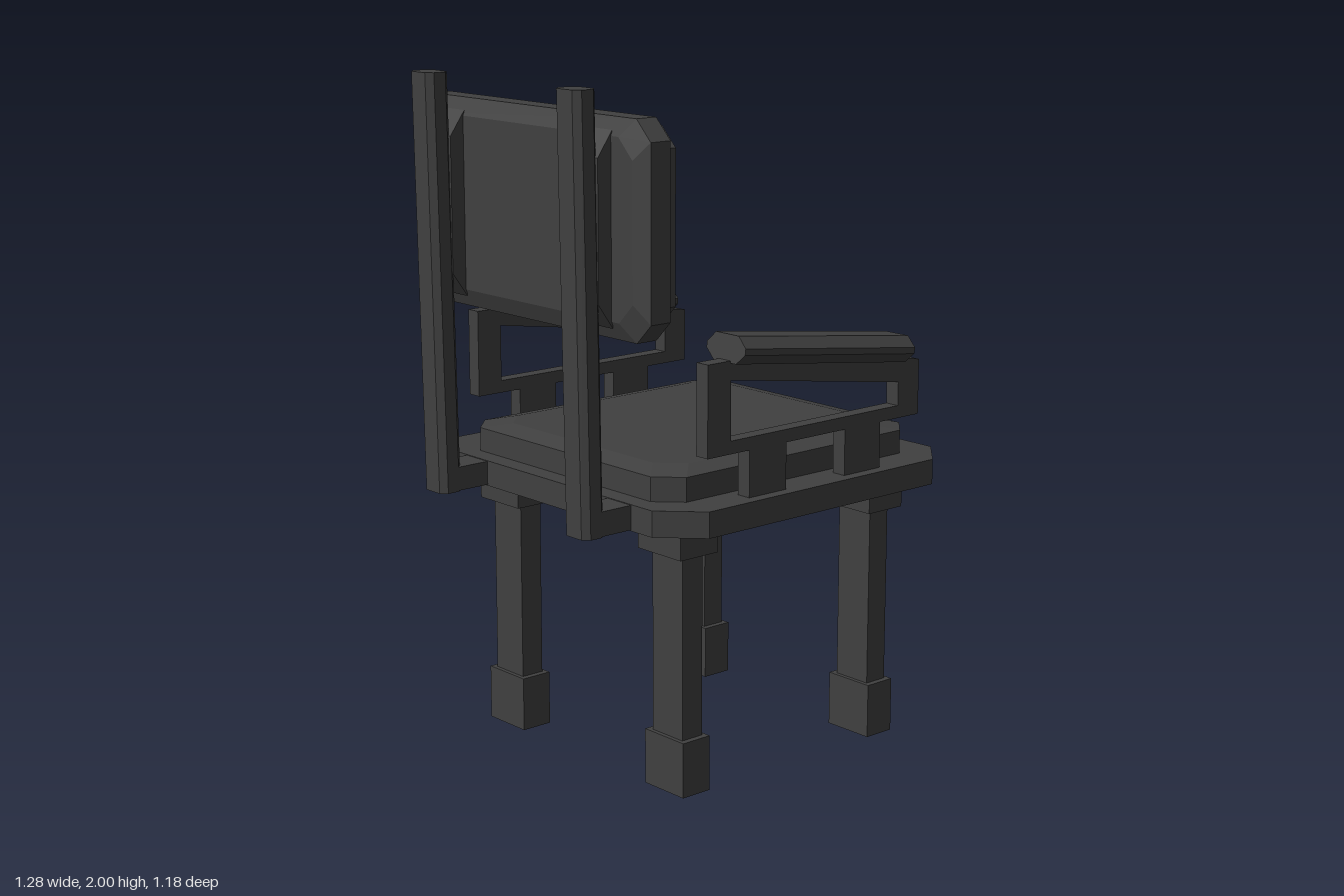
import * as THREE from 'three';

const material = new THREE.MeshStandardMaterial({ color: 0x404040, flatShading: true });

function add(parent, name, geometry, x = 0, y = 0, z = 0) {
  const mesh = new THREE.Mesh(geometry, material);
  mesh.name = name;
  mesh.position.set(x, y, z);
  parent.add(mesh);
  return mesh;
}

// Chamfered rectangle (x by z) lofted upward through rings of [y, inset, xShift]
function slab(width, depth, chamfer, rings) {
  const pos = [], index = [], n = 8;
  for (const [y, inset, shift = 0] of rings) {
    const a = width / 2 - inset, b = depth / 2 - inset, c = chamfer;
    const ring = [[a, b - c], [a, c - b], [a - c, -b], [c - a, -b],
      [-a, c - b], [-a, b - c], [c - a, b], [a - c, b]];
    for (const [x, z] of ring) pos.push(x + shift, y, z);
  }
  const last = (rings.length - 1) * n;
  for (let r = 0; r < last; r += n) {
    for (let i = 0; i < n; i++) {
      const j = (i + 1) % n;
      index.push(r + i, r + j, r + n + j, r + i, r + n + j, r + n + i);
    }
  }
  for (let i = 1; i < n - 1; i++) {
    index.push(last, last + i, last + i + 1, 0, i + 1, i);
  }
  const g = new THREE.BufferGeometry();
  g.setAttribute('position', new THREE.Float32BufferAttribute(pos, 3));
  g.setIndex(index);
  const flat = g.toNonIndexed();
  flat.computeVertexNormals();
  return flat;
}

const toPoints = (list) => list.map(([x, y]) => new THREE.Vector2(x, y));

// Outline in x-y, extruded and centred along z
function plate(points, thickness, hole) {
  const shape = new THREE.Shape(toPoints(points));
  if (hole) shape.holes.push(new THREE.Path(toPoints(hole)));
  return new THREE.ExtrudeGeometry(shape, { depth: thickness, bevelEnabled: false })
    .translate(0, 0, -thickness / 2);
}

function block(parent, name, x0, x1, y0, y1, z, depth) {
  return add(parent, name, new THREE.BoxGeometry(x1 - x0, y1 - y0, depth),
    (x0 + x1) / 2, (y0 + y1) / 2, z);
}

export function createModel() {
  const chair = new THREE.Group();
  chair.name = 'armchair';

  // Seat board and cushion
  add(chair, 'seatBoard', slab(1.1, 1.14, 0.11,
    [[0.775, 0.105], [0.79, 0], [0.865, 0]]), 0.09);
  add(chair, 'seatCushion', slab(0.98, 0.91, 0.07,
    [[0.86, 0], [0.935, 0], [0.95, 0.07]]), 0.09);

  // Backrest board and cushion, turned to face +x
  const board = add(chair, 'backBoard', slab(0.595, 1.02, 0.057,
    [[-0.525, 0.05], [-0.505, 0], [-0.437, 0]]), 0, 1.627);
  const pad = add(chair, 'backCushion', slab(0.535, 0.92, 0.055,
    [[-0.44, 0], [-0.375, 0], [-0.357, 0.03]]), 0, 1.627);
  board.rotation.z = pad.rotation.z = -Math.PI / 2;

  for (const side of [1, -1]) {
    const half = new THREE.Group();
    half.name = side > 0 ? 'rightHalf' : 'leftHalf';
    half.name = side > 0 ? 'sidePartsNear' : 'sidePartsFar';
    chair.add(half);

    // Legs with collar and foot
    for (const x of [-0.282, 0.457]) {
      const leg = new THREE.Group();
      leg.name = x > 0 ? 'frontLeg' : 'rearLeg';
      half.add(leg);
      const z = side * 0.363;
      block(leg, 'legCollar', x - 0.068, x + 0.068, 0.7, 0.78, z, 0.18);
      block(leg, 'legShaft', x - 0.037, x + 0.037, 0.16, 0.7, z, 0.126);
      block(leg, 'legFoot', x - 0.05, x + 0.05, 0, 0.163, z, 0.163);
    }

    // Back post, its seat bar and the bracket behind the backrest
    const z = side * 0.323;
    add(half, 'backPost', slab(0.075, 0.1, 0.018,
      [[0.79, 0, 0], [2, 0, -0.02]]), -0.5825, 0, z);
    block(half, 'postBar', -0.6, -0.4, 0.793, 0.863, z, 0.1);
    add(half, 'backBracket', plate(
      [[-0.57, 1.43], [-0.52, 1.36], [-0.52, 1.89], [-0.57, 1.82]], 0.1), 0, 0, z);

    // Armrest frame, supports and sloping pad
    const arm = new THREE.Group();
    arm.name = 'armrest';
    arm.position.z = side * 0.511;
    half.add(arm);
    add(arm, 'armFrame', plate(
      [[-0.325, 1], [0.5, 1], [0.5, 1.163], [0.42, 1.176], [-0.22, 1.26], [-0.325, 1.26]], 0.046,
      [[-0.24, 1.037], [-0.24, 1.206], [0.415, 1.106], [0.415, 1.037]]));
    block(arm, 'armSupportRear', -0.17, -0.03, 0.86, 1.02, 0, 0.046);
    block(arm, 'armSupportFront', 0.2, 0.343, 0.86, 1.02, 0, 0.046);
    const padGeometry = plate([[-0.045, -0.037], [0.045, -0.037], [0.077, -0.008],
      [0.077, 0.01], [0.045, 0.04], [-0.045, 0.04], [-0.077, 0.01], [-0.077, -0.008]], 0.667);
    padGeometry.rotateY(Math.PI / 2).rotateZ(-0.128);
    add(arm, 'armPad', padGeometry, 0.092, 1.248);
  }
  return chair;
}
